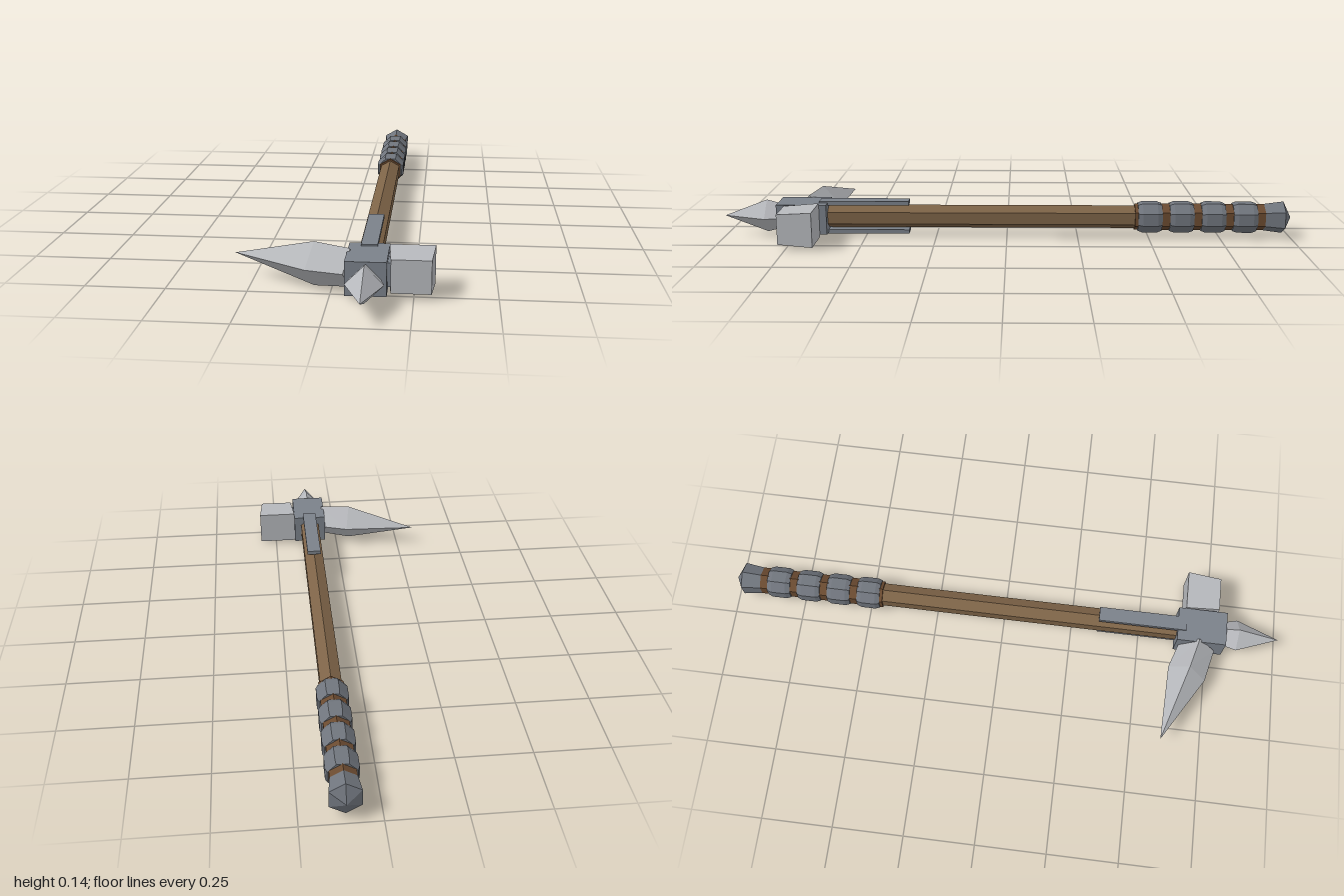
import * as THREE from 'three';

const AX = 0.11, AY = 0.073; // centre line of the handle

const flat = (color) => new THREE.MeshStandardMaterial({ color, flatShading: true });

export function createModel() {
  const model = new THREE.Group();
  const wood = flat(0x7d6347), leather = flat(0x6a4a30);
  const steel = flat(0x7b818a), darkSteel = flat(0x70757d), blade = flat(0xb6b8bc);

  const add = (name, geometry, material) => {
    const mesh = new THREE.Mesh(geometry, material);
    mesh.name = name;
    model.add(mesh);
    return mesh;
  };

  // Faceted solid along z from [radius, z] pairs with z ascending
  const turned = (name, profile, sides, material, turn = 0) => {
    const points = profile.map(([r, z]) => new THREE.Vector2(r, z));
    const geometry = new THREE.LatheGeometry(points, sides, turn).rotateX(Math.PI / 2);
    geometry.translate(AX, AY, 0);
    return add(name, geometry, material);
  };

  // Box given by its two extreme corners
  const box = (name, [x0, y0, z0], [x1, y1, z1], material) => {
    const geometry = new THREE.BoxGeometry(x1 - x0, y1 - y0, z1 - z0);
    geometry.translate((x0 + x1) / 2, (y0 + y1) / 2, (z0 + z1) / 2);
    return add(name, geometry, material);
  };

  // Handle with wrapped grip
  turned('shaft', [[0, -0.5], [0.041, -0.5], [0.041, 0.65], [0, 0.65]], 6, wood);
  turned('gripWrap', [[0, -0.91], [0.048, -0.91], [0.048, -0.45], [0, -0.45]], 6, leather);
  for (let i = 0; i < 4; i++) {
    const z = -0.503 - i * 0.111;
    turned('gripRing', [[0, z - 0.042], [0.05, z - 0.042], [0.056, z - 0.026],
      [0.056, z + 0.026], [0.05, z + 0.042], [0, z + 0.042]], 8, darkSteel, Math.PI / 8);
  }
  turned('pommel', [[0, -1], [0.057, -0.972], [0.046, -0.89], [0, -0.89]], 6, darkSteel);

  // Head block and the straps holding it to the shaft
  box('headBlock', [0.048, 0.02, 0.63], [0.172, 0.126, 0.805], steel);
  box('topStrap', [0.085, 0.117, 0.345], [0.136, 0.131, 0.66], steel);
  box('bottomStrap', [0.085, 0.015, 0.345], [0.136, 0.029, 0.66], steel);

  // Four-sided front spike
  turned('frontSpike', [[0, 0.8], [0.045, 0.8], [0.058, 0.85], [0, 1]], 4, blade);

  // Hammer, tapering towards the front
  box('hammerNeck', [0.165, 0.035, 0.67], [0.19, 0.11, 0.76], steel);
  const hammer = new THREE.BoxGeometry(0.14, 0.121, 0.12);
  const pos = hammer.attributes.position;
  for (let i = 0; i < pos.count; i++) {
    if (pos.getZ(i) > 0) pos.setXY(i, pos.getX(i) * 0.86, pos.getY(i) * 0.865);
  }
  hammer.translate(0.242, 0.0725, 0.715);
  add('hammer', hammer, blade);

  // Curved pick: diamond sections ordered top, front, bottom, back
  const sections = [
    [[0.057, 0.134, 0.71], [0.04, AY, 0.772], [0.057, 0.012, 0.71], [0.058, AY, 0.645]],
    [[-0.055, 0.143, 0.68], [-0.077, AY, 0.745], [-0.055, 0.002, 0.68], [-0.04, AY, 0.612]],
  ];
  const [base, bulge] = sections;
  const tip = [-0.312, AY, 0.603];
  const verts = [];
  const tri = (...corners) => corners.forEach((c) => verts.push(...c));
  for (let i = 0; i < 4; i++) {
    const j = (i + 1) % 4;
    tri(base[i], bulge[i], base[j]);
    tri(base[j], bulge[i], bulge[j]);
    tri(bulge[i], tip, bulge[j]);
  }
  tri(base[0], base[1], base[2]);
  tri(base[0], base[2], base[3]);
  const pick = new THREE.BufferGeometry();
  pick.setAttribute('position', new THREE.Float32BufferAttribute(verts, 3));
  pick.computeVertexNormals();
  add('pick', pick, blade);

  return model;
}
